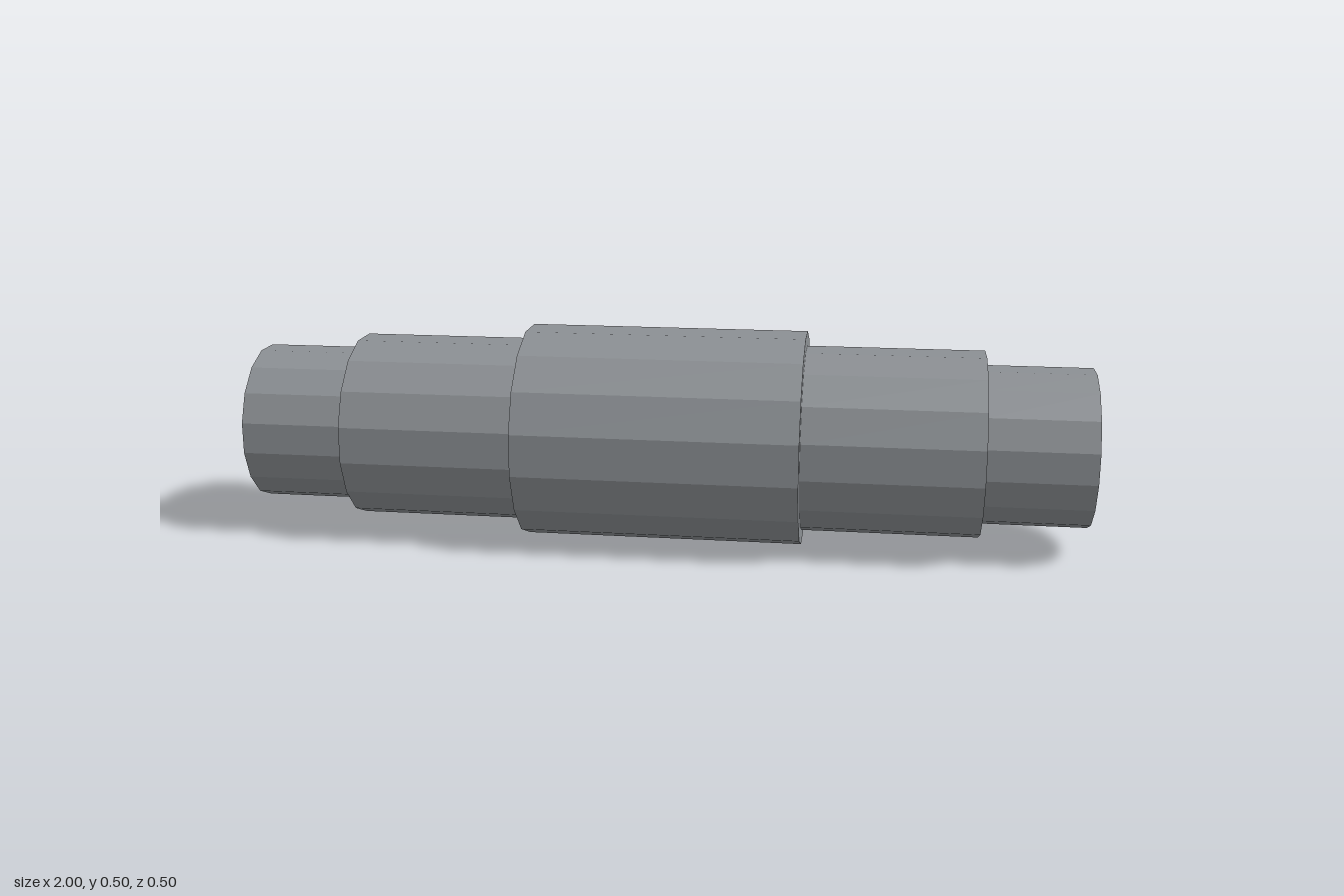
import * as THREE from 'three';

export function createModel() {
  const model = new THREE.Group();
  model.name = 'steppedShaft';

  const steel = new THREE.MeshStandardMaterial({ color: 0x8c9094, flatShading: true });
  steel.name = 'steel grey';

  const sides = 16;
  const apothem = 0.251; // centre to flat of the widest section
  const toCorner = 1 / Math.cos(Math.PI / sides);

  // Half profile from the middle to the end: [centre to flat, distance along the shaft]
  const half = [[0.251, 0.333], [0.217, 0.333], [0.217, 0.75], [0.184, 0.75], [0.184, 1], [0, 1]];
  const mirrored = half.map(([r, d]) => [r, -d]).reverse();
  const profile = [...mirrored, ...half].map(([r, d]) => new THREE.Vector2(r * toCorner, d));

  // Turned body, with a flat facing straight up, laid along x
  const geometry = new THREE.LatheGeometry(profile, sides, Math.PI / sides);
  geometry.rotateZ(-Math.PI / 2);
  const shaft = new THREE.Mesh(geometry, steel);
  shaft.name = 'shaft';
  shaft.position.y = apothem;
  model.add(shaft);

  return model;
}
